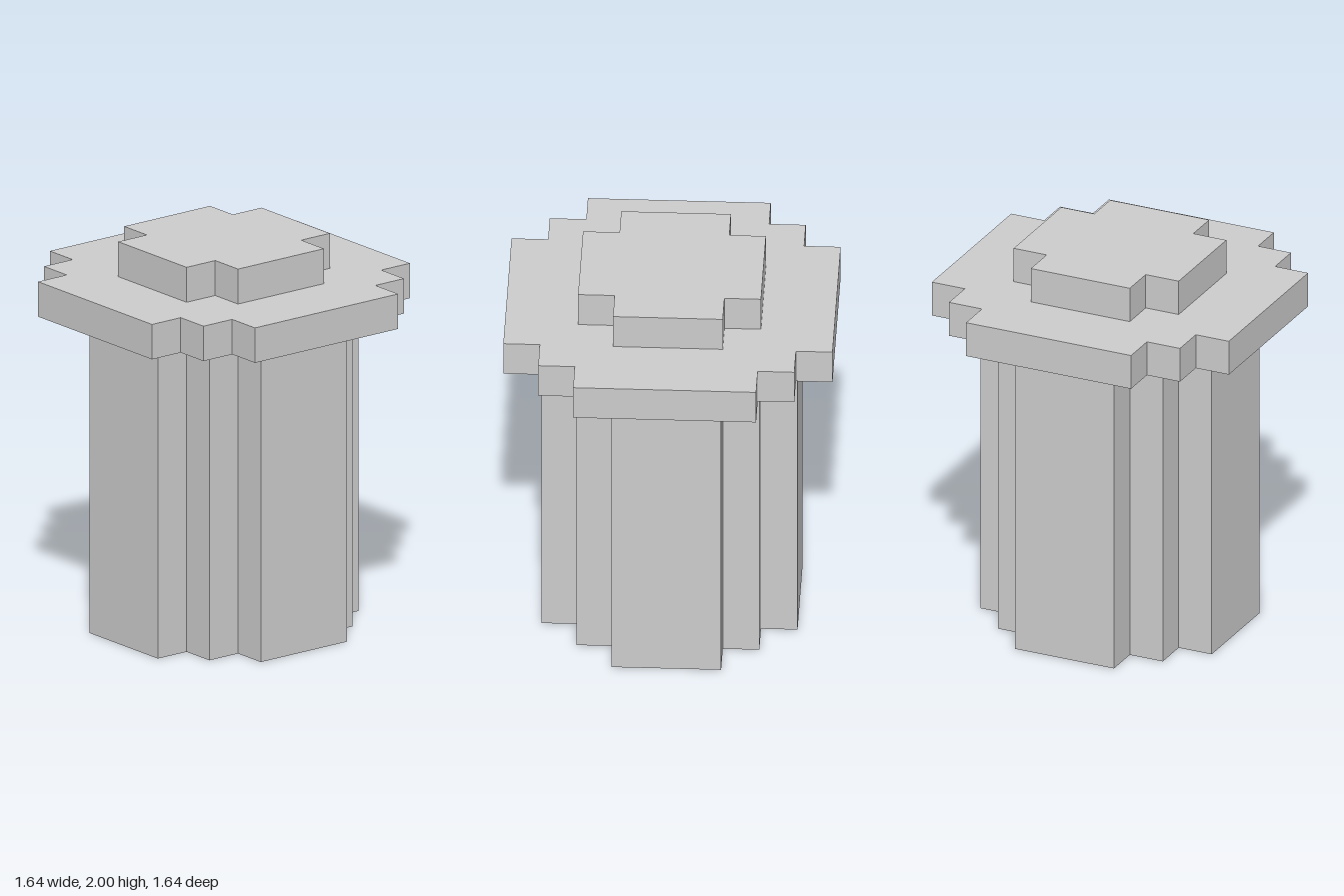
import * as THREE from 'three';

const U = 2 / 11; // one block

// Round outline in block steps: one stepped corner, turned four times
function steppedDisc(levels) {
  const n = levels.length;
  const corner = [];
  for (let i = n - 1; i >= 0; i--) {
    const y = levels[n - 1 - i];
    corner.push([levels[i], y]);
    if (i > 0) corner.push([levels[i - 1], y]);
  }
  const points = [];
  for (let q = 0; q < 4; q++) {
    for (const [x, y] of corner) {
      const [px, py] = [[x, y], [-y, x], [-x, -y], [y, -x]][q];
      points.push(new THREE.Vector2(px * U, py * U));
    }
  }
  return new THREE.Shape(points);
}

export function createModel() {
  const group = new THREE.Group();
  group.name = 'steppedColumn';
  const material = new THREE.MeshStandardMaterial({ color: 0xcccccc, flatShading: true });

  // Stacked tiers: name, half-widths of the steps, bottom and height in blocks
  const tiers = [
    ['shaft', [1.5, 2.5, 3.5], 0, 9],
    ['rim', [2.5, 3.5, 4.5], 9, 1],
    ['cap', [1.5, 2.5], 10, 1],
  ];
  for (const [name, levels, bottom, height] of tiers) {
    const geometry = new THREE.ExtrudeGeometry(steppedDisc(levels), {
      depth: height * U,
      bevelEnabled: false,
    });
    geometry.rotateX(-Math.PI / 2);
    const mesh = new THREE.Mesh(geometry, material);
    mesh.name = name;
    mesh.position.y = bottom * U;
    group.add(mesh);
  }
  return group;
}
